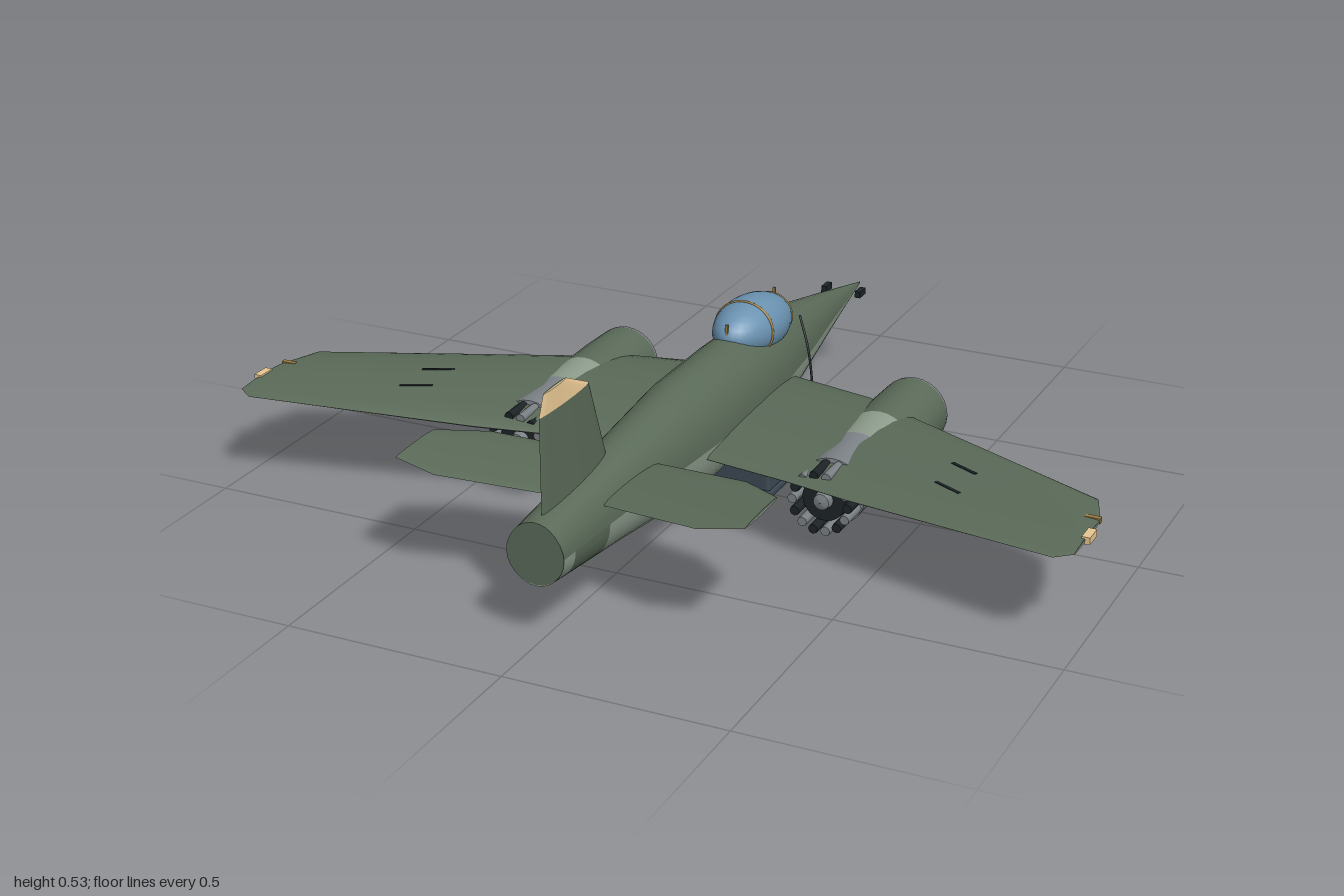
import * as THREE from 'three';
import { toCreasedNormals } from 'three/addons/utils/BufferGeometryUtils.js';
import { RoundedBoxGeometry } from 'three/addons/geometries/RoundedBoxGeometry.js';

const mat = (name, color) => Object.assign(new THREE.MeshStandardMaterial({ color, side: THREE.DoubleSide }), { name });

// Closed skin over equal-length loops of [x, y, z] points, wound outward
function loft(loops, crease = 0.6) {
  const n = loops[0].length, pos = loops.flat(2), idx = [];
  for (let i = 0; i < loops.length - 1; i++) {
    for (let j = 0; j < n; j++) {
      const a = i * n + j, b = i * n + (j + 1) % n;
      idx.push(a, b, a + n, b, b + n, a + n);
    }
  }
  const last = (loops.length - 1) * n;
  for (let j = 1; j < n - 1; j++) idx.push(0, j + 1, j, last, last + j, last + j + 1);
  // A negative volume means the faces point inward
  const p = (i) => new THREE.Vector3().fromArray(pos, idx[i] * 3);
  let volume = 0;
  for (let i = 0; i < idx.length; i += 3) volume += p(i).dot(p(i + 1).cross(p(i + 2)));
  if (volume < 0) idx.reverse();
  const g = new THREE.BufferGeometry();
  g.setAttribute('position', new THREE.Float32BufferAttribute(pos, 3));
  g.setIndex(idx);
  return toCreasedNormals(g, crease);
}

// Airfoil outline as [chord position, height]; up and down are half thicknesses
function foil(z0, z1, up, down) {
  const out = [], N = 10;
  for (let i = 0; i < 2 * N; i++) {
    const a = (i / N) * Math.PI, t = (1 - Math.cos(a)) / 2;
    const h = Math.abs(Math.sin(a)) * (1 - 0.3 * t);
    out.push([z0 + (z1 - z0) * t, i < N ? h * up : -h * down]);
  }
  return out;
}

// Upper or lower half of a wing; stations are [x, leading z, trailing z, mid y, thickness]
const wingHalf = (stations, s, upper) => loft(stations.map(([x, a, b, y, t]) =>
  foil(a, b, upper ? t / 2 : 0, upper ? 0 : t / 2).map(([z, h]) => [s * x, y + h, z])));

const WING = [[0.04, -0.265, 0.24, 0.18, 0.066], [0.3, -0.2, 0.287, 0.184, 0.067],
  [0.45, -0.12, 0.325, 0.188, 0.062], [0.95, 0.16, 0.456, 0.219, 0.02], [0.986, 0.26, 0.43, 0.221, 0.012]];
const TAILPLANE = [[0.03, 0.43, 0.66, 0.24, 0.026], [0.3, 0.49, 0.735, 0.27, 0.018], [0.4, 0.56, 0.72, 0.284, 0.01]];

// Upright surface; stations are [y, leading z, trailing z, right half, left half]
const finSkin = (stations) => loft(stations.map(([y, a, b, r, l]) =>
  foil(a, b, r, l).map(([z, h]) => [h, y, z])));

// Fuselage stations: z, half width, top, seam, bottom
const BODY = [
  [-0.85, 0.001, 0.202, 0.2, 0.198], [-0.6, 0.037, 0.258, 0.2, 0.153], [-0.33, 0.079, 0.315, 0.2, 0.106],
  [-0.2, 0.094, 0.33, 0.2, 0.085], [-0.03, 0.101, 0.335, 0.2, 0.068], [0.2, 0.1, 0.335, 0.2, 0.06],
  [0.4, 0.086, 0.318, 0.2, 0.078], [0.55, 0.077, 0.303, 0.2, 0.097], [0.66, 0.071, 0.291, 0.2, 0.109],
  [0.8, 0.065, 0.277, 0.2, 0.125], [0.85, 0.063, 0.272, 0.2, 0.131]];
const halfBody = (rows, upper) => loft(rows.map(([z, w, top, seam, bottom]) =>
  Array.from({ length: 17 }, (_, i) => {
    const a = (i / 16) * Math.PI;
    return [w * Math.cos(a), seam + Math.sin(a) * ((upper ? top : bottom) - seam), z];
  })));

// Body of revolution about z from [radius, z] points
const turned = (pts, sides = 28) => toCreasedNormals(
  new THREE.LatheGeometry(pts.map(([r, z]) => new THREE.Vector2(r, z)), sides).rotateX(Math.PI / 2), 0.6);

export function createModel() {
  const green = mat('dark green', 0x5a6a58), sage = mat('pale sage', 0x8c9b8b);
  const slate = mat('slate', 0x3d4953), black = mat('near black', 0x1d2327);
  const grey = mat('metal grey', 0x7c8286), glass = mat('canopy blue', 0x6a92b1);
  const tan = mat('tan', 0xeccb97), brass = mat('brass', 0x9c7d42);
  const root = new THREE.Group();
  root.name = 'aircraft';

  const add = (name, geo, material, x = 0, y = 0, z = 0, parent = root) => {
    const m = new THREE.Mesh(geo, material);
    m.name = name;
    m.position.set(x, y, z);
    parent.add(m);
    return m;
  };
  const box = (name, w, h, d, material, x, y, z, parent) =>
    add(name, new THREE.BoxGeometry(w, h, d), material, x, y, z, parent);

  // Fuselage with a pale belly and a dark band near the tail
  add('upperFuselage', halfBody(BODY, true), green);
  add('lowerFuselage', halfBody(BODY.slice(0, 9), false), sage);
  add('tailBand', halfBody(BODY.slice(8, 10), false), green);
  add('tailEnd', halfBody(BODY.slice(9), false), sage);
  add('tailCap', new THREE.CircleGeometry(0.066, 24), green, 0, 0.2, 0.8505);

  // Canopy, nose slightly down, with its hoops and end posts
  const canopy = new THREE.Group();
  canopy.name = 'canopyAssembly';
  canopy.position.set(0, 0.322, -0.195);
  canopy.rotation.x = -0.08;
  root.add(canopy);
  const [rx, ry, rz] = [0.076, 0.069, 0.147];
  add('canopy', new THREE.SphereGeometry(1, 32, 20).scale(rx, ry, rz), glass, 0, 0, 0, canopy);
  for (const z of [-0.1, 0.045]) {
    const k = Math.sqrt(1 - (z / rz) ** 2);
    add('canopyHoop', new THREE.TorusGeometry(1, 0.04, 8, 32).scale(rx * k, ry * k, 0.11), brass, 0, 0, z, canopy);
  }
  box('rearCanopyPost', 0.006, 0.05, 0.006, brass, 0, 0.345, -0.055);
  box('frontCanopyPost', 0.006, 0.06, 0.006, brass, 0, 0.34, -0.318);

  // Fin, its tip painted on one side only
  add('fin', finSkin([[0.27, 0.53, 0.82, 0.016, 0.016], [0.485, 0.61, 0.82, 0.009, 0.009]]), green);
  const tip = (r, l) => finSkin([[0.485, 0.61, 0.82, r, l], [0.53, 0.705, 0.8, r * 0.5, l * 0.5]]);
  add('finTipPainted', tip(0.009, 0), tan);
  add('finTipPlain', tip(0, 0.009), green);

  for (const s of [1, -1]) {
    // Wing and tailplane, dark above and pale below
    for (const upper of [true, false]) {
      const side = upper ? 'Top' : 'Underside', paint = upper ? green : sage;
      add('wing' + side, wingHalf(WING, s, upper), paint);
      add('tailplane' + side, wingHalf(TAILPLANE, s, upper), paint);
    }

    // Slits on the wing and lamps at its tip
    for (const [y, z] of [[0.217, 0.135], [0.215, 0.235]]) {
      const slit = box('wingSlit', 0.075, 0.008, 0.008, black, s * 0.645, y, z);
      slit.rotation.set(0, -s * 0.5, s * 0.025);
    }
    box('frontTipLamp', 0.034, 0.012, 0.012, brass, s * 0.97, 0.222, 0.26);
    box('rearTipLamp', 0.018, 0.016, 0.045, tan, s * 0.988, 0.222, 0.34);

    // Engine pod: intake, coloured casing bands and ring of nozzle tubes
    const engine = new THREE.Group();
    engine.name = 'engine';
    engine.position.set(s * 0.37, 0.139, 0);
    root.add(engine);
    const part = (name, geo, material, z = 0) => add(name, geo, material, 0, 0, z, engine);
    part('intakeLip', turned([[0.07, -0.28], [0.074, -0.29], [0.08, -0.288], [0.082, -0.278]]), grey);
    part('intakeDuct', turned([[0.06, -0.19], [0.07, -0.282]]), black);
    part('intakeFan', new THREE.CircleGeometry(0.068, 24).rotateY(Math.PI), black, -0.21);
    part('intakeCone', turned([[0.001, -0.25], [0.015, -0.235], [0.022, -0.21]], 16), slate);
    part('frontCasing', turned([[0.082, -0.278], [0.084, -0.18], [0.083, -0.065]]), green);
    part('middleCasing', turned([[0.083, -0.065], [0.08, 0.055]]), sage);
    part('rearCasing', turned([[0.08, 0.055], [0.0765, 0.1], [0.077, 0.2], [0.05, 0.205]]), grey);
    part('nozzleCore', turned([[0.055, 0.19], [0.05, 0.245], [0.001, 0.245]]), black);
    part('nozzleHub', turned([[0.022, 0.24], [0.018, 0.262], [0.001, 0.268]], 16), grey);
    for (let i = 0; i < 14; i++) {
      const a = (i / 14) * Math.PI * 2;
      add('nozzleTube', new THREE.CylinderGeometry(0.011, 0.011, 0.075, 8).rotateX(Math.PI / 2),
        i % 2 ? grey : black, Math.cos(a) * 0.064, Math.sin(a) * 0.064, 0.233, engine);
    }

    // Fittings under the wing and beside the nose
    box('underwingFitting', 0.022, 0.03, 0.05, black, s * 0.215, 0.138, 0.1);
    box('underwingFitting', 0.016, 0.025, 0.04, black, s * 0.28, 0.145, 0.1);
    box('noseSensor', 0.014, 0.016, 0.036, black, s * 0.045, 0.217, -0.742);

    // Front brackets and thin rods rising to the canopy sill
    box('frontBracket', 0.025, 0.05, 0.035, slate, s * 0.12, 0.05, -0.255);
    box('rodFoot', 0.04, 0.022, 0.04, black, s * 0.115, 0.132, -0.29);
    const rod = new THREE.CatmullRomCurve3([[0.125, 0.05, -0.265], [0.115, 0.14, -0.285],
      [0.098, 0.24, -0.295], [0.07, 0.315, -0.308]].map(([x, y, z]) => new THREE.Vector3(s * x, y, z)));
    add('canopyRod', new THREE.TubeGeometry(rod, 12, 0.003, 6), black);
    box('packCorner', 0.05, 0.02, 0.06, black, s * 0.12, 0.108, -0.07);
  }

  // Belly pack on its flat skid
  add('bellySkid', new RoundedBoxGeometry(0.304, 0.027, 0.395, 3, 0.012), slate, 0, 0.0135, -0.07);
  add('bellyPack', new RoundedBoxGeometry(0.3, 0.085, 0.21, 2, 0.01), slate, 0, 0.062, -0.065);
  box('bellyCrossbar', 0.26, 0.014, 0.014, slate, 0, 0.068, -0.265);
  return root;
}
